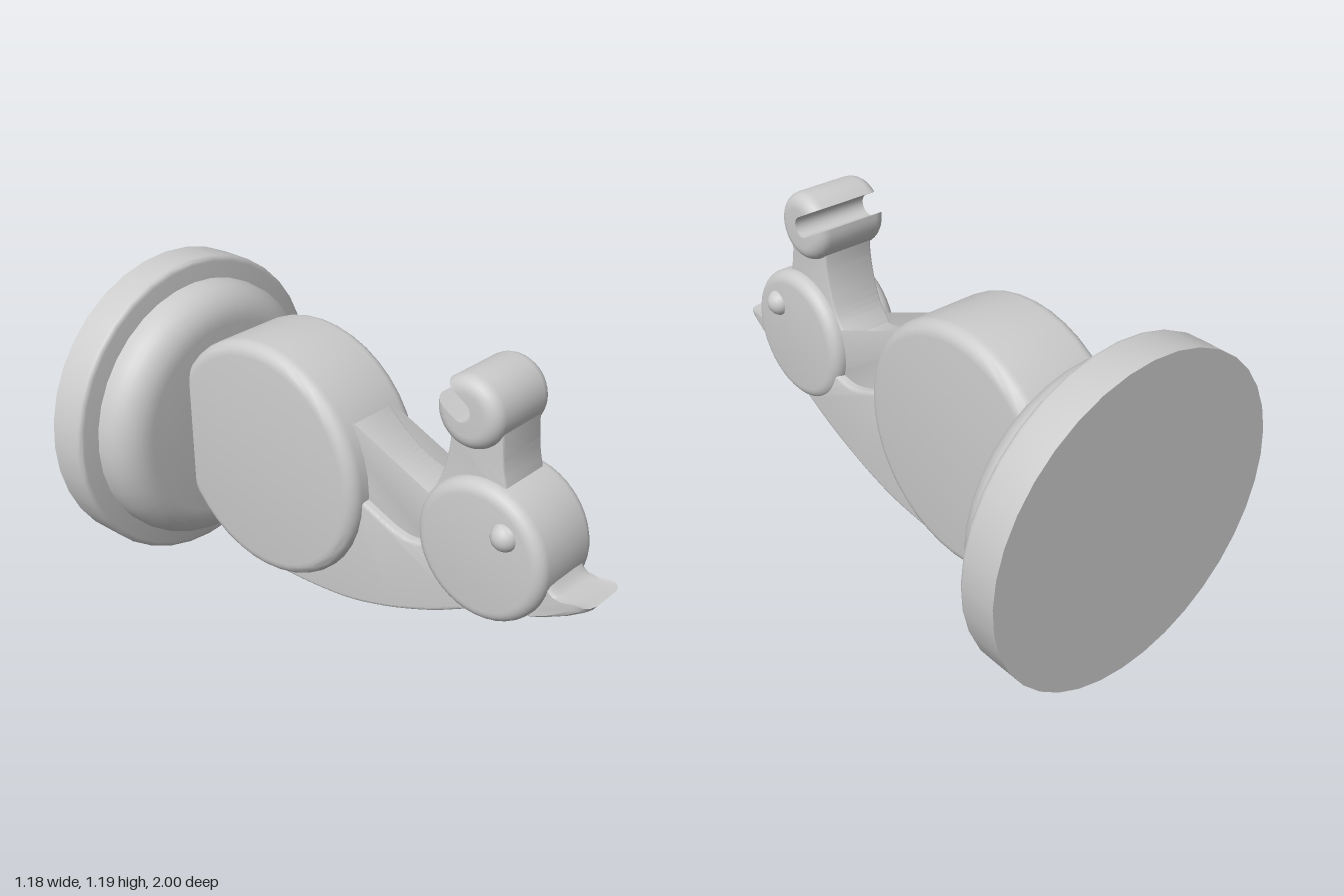
import * as THREE from 'three';
import { toCreasedNormals } from 'three/addons/utils/BufferGeometryUtils.js';

const material = new THREE.MeshStandardMaterial({ color: 0xcccccc, side: THREE.DoubleSide });

function add(group, name, geometry, crease = 0.6) {
  const mesh = new THREE.Mesh(toCreasedNormals(geometry, crease), material);
  mesh.name = name;
  group.add(mesh);
  return mesh;
}

// Side profile made of smooth runs of [z, y] points joined by corners.
function profile(runs) {
  const shape = new THREE.Shape();
  shape.moveTo(...runs[0][0]);
  runs.forEach((run, i) => {
    if (i > 0) shape.lineTo(...run[0]);
    shape.splineThru(run.slice(1).map(p => new THREE.Vector2(...p)));
  });
  shape.closePath();
  return shape;
}

// Slab of a side profile, centred on x, with softened edges.
function slab(shape, halfWidth, bevel) {
  const depth = 2 * (halfWidth - bevel);
  const geo = new THREE.ExtrudeGeometry(shape, {
    depth, curveSegments: 16, bevelEnabled: true,
    bevelThickness: bevel, bevelSize: bevel, bevelOffset: -bevel, bevelSegments: 3,
  });
  return geo.translate(0, 0, -depth / 2).rotateY(-Math.PI / 2);
}

// Lathe profile [radius, height] with a quarter-round shoulder.
function shoulder(radius, height, r, direction = 1, steps = 6) {
  return Array.from({ length: steps + 1 }, (_, i) => {
    const a = (i / steps) * Math.PI / 2;
    return new THREE.Vector2(radius - r + r * Math.cos(a), height + direction * (r * Math.sin(a) - r));
  });
}

// Thick wheel lying along x with rounded rims.
function wheel(radius, halfWidth, r) {
  const pts = [
    new THREE.Vector2(0, -halfWidth),
    ...shoulder(radius, -halfWidth, r, -1).reverse(),
    ...shoulder(radius, halfWidth, r),
    new THREE.Vector2(0, halfWidth),
  ];
  return new THREE.LatheGeometry(pts, 40).rotateZ(-Math.PI / 2);
}

// Skin between equal-length [z, y] outlines placed across x.
function loft(sections) {
  const pos = [];
  const index = [];
  const n = sections[0].outline.length;
  sections.forEach(s => s.outline.forEach(([z, y]) => pos.push(z, y, s.x)));
  for (let k = 0; k < sections.length - 1; k++) {
    for (let i = 0; i < n; i++) {
      const a = k * n + i;
      const b = k * n + (i + 1) % n;
      index.push(a, b, b + n, a, b + n, a + n);
    }
  }
  const last = sections.length - 1;
  for (const k of [0, last]) {
    const contour = sections[k].outline.map(p => new THREE.Vector2(...p));
    for (const [a, b, c] of THREE.ShapeUtils.triangulateShape(contour, [])) {
      const o = k * n;
      index.push(o + a, o + (k ? b : c), o + (k ? c : b));
    }
  }
  const geo = new THREE.BufferGeometry();
  geo.setAttribute('position', new THREE.Float32BufferAttribute(pos, 3));
  geo.setIndex(index);
  return geo.rotateY(-Math.PI / 2);
}

// Circle of radius r with a round-ended slot cut in from one side.
function slottedCircle(r) {
  const cz = 0.53, cy = 1.07, angle = 2.62, half = 0.038, inset = 0.02;
  const pts = [];
  const delta = Math.asin(half / r);
  for (let i = 0; i <= 36; i++) {
    const a = angle + delta + (i / 36) * (2 * Math.PI - 2 * delta);
    pts.push([cz + r * Math.cos(a), cy + r * Math.sin(a)]);
  }
  for (let i = 0; i <= 10; i++) {
    const a = angle - Math.PI / 2 - (i / 10) * Math.PI;
    pts.push([
      cz + inset * Math.cos(angle) + half * Math.cos(a),
      cy + inset * Math.sin(angle) + half * Math.sin(a),
    ]);
  }
  return pts;
}

export function createModel() {
  const model = new THREE.Group();
  model.name = 'wallMountedHolder';

  // Round wall plate and its domed cover
  const platePts = [new THREE.Vector2(0, 0), new THREE.Vector2(0.592, 0),
    ...shoulder(0.592, 0.15, 0.02, 1, 3), new THREE.Vector2(0, 0.15)];
  add(model, 'wallPlate', new THREE.LatheGeometry(platePts, 36).rotateX(Math.PI / 2))
    .position.set(0, 0.595, -1);
  const coverPts = [new THREE.Vector2(0.508, 0), ...shoulder(0.508, 0.16, 0.13, 1, 8), new THREE.Vector2(0, 0.16)];
  add(model, 'plateCover', new THREE.LatheGeometry(coverPts, 36).rotateX(Math.PI / 2))
    .position.set(0, 0.595, -0.86);

  // Body and head drums
  add(model, 'body', wheel(0.452, 0.185, 0.05)).position.set(0, 0.6, -0.35);
  add(model, 'head', wheel(0.255, 0.15, 0.045)).position.set(0, 0.597, 0.597);

  // Wide lower arm under the narrower neck
  add(model, 'lowerArm', slab(profile([
    [[0.6, 0.37], [0.55, 0.35], [0.4, 0.275], [0.2, 0.2], [0, 0.152], [-0.25, 0.135], [-0.4, 0.145], [-0.55, 0.2]],
    [[-0.4, 0.6], [0, 0.61], [0.1, 0.585], [0.24, 0.53], [0.33, 0.523], [0.45, 0.56]],
  ]), 0.135, 0.012));
  add(model, 'neck', slab(profile([
    [[0.5, 0.45], [0.2, 0.4], [-0.3, 0.4]],
    [[-0.35, 1.03], [-0.2, 1.022], [-0.1, 0.965], [0, 0.872], [0.1, 0.785], [0.2, 0.722], [0.32, 0.688], [0.42, 0.7]],
  ]), 0.102, 0.012));

  // Stem rising from the head
  add(model, 'crestStem', slab(profile([
    [[0.69, 0.75], [0.665, 0.85], [0.652, 0.92], [0.645, 1.03]],
    [[0.445, 1.0], [0.44, 0.92], [0.42, 0.83], [0.385, 0.745], [0.33, 0.68]],
    [[0.4, 0.6], [0.6, 0.6]],
  ]), 0.102, 0.008));

  // Slotted clip with rounded ends
  const clipSections = [];
  for (let i = 0; i <= 6; i++) {
    const a = (i / 6) * Math.PI / 2;
    clipSections.push({ x: 0.1 + 0.05 * Math.cos(a), outline: slottedCircle(0.075 + 0.05 * Math.sin(a)) });
  }
  const mirrored = clipSections.map(s => ({ x: -s.x, outline: s.outline }));
  add(model, 'crestClip', loft([...mirrored, ...clipSections.reverse()]));

  // Beak with rounded corners at the tip
  const beak = [[0.72, 0.42], [0.78, 0.405], [0.85, 0.432], [0.92, 0.468], [0.985, 0.51],
    [1, 0.53], [0.965, 0.527], [0.925, 0.52], [0.885, 0.523], [0.86, 0.54], [0.84, 0.572], [0.75, 0.58]];
  const beakSections = [[0.1, 0.76], [0.095, 0.87], [0.083, 0.95], [0.055, 1]];
  const allBeak = [...beakSections.map(([x, s]) => [-x, s]), ...beakSections.slice().reverse()];
  add(model, 'beak', loft(allBeak.map(([x, s]) => ({
    x, outline: beak.map(([z, y]) => [0.8 + (z - 0.8) * s, 0.53 + (y - 0.53) * (0.6 + 0.4 * s)]),
  }))));

  // Eyes
  for (const side of [1, -1]) {
    const eye = add(model, side > 0 ? 'leftEye' : 'rightEye', new THREE.SphereGeometry(0.05, 20, 12));
    eye.position.set(side * 0.137, 0.7, 0.7);
  }
  return model;
}
